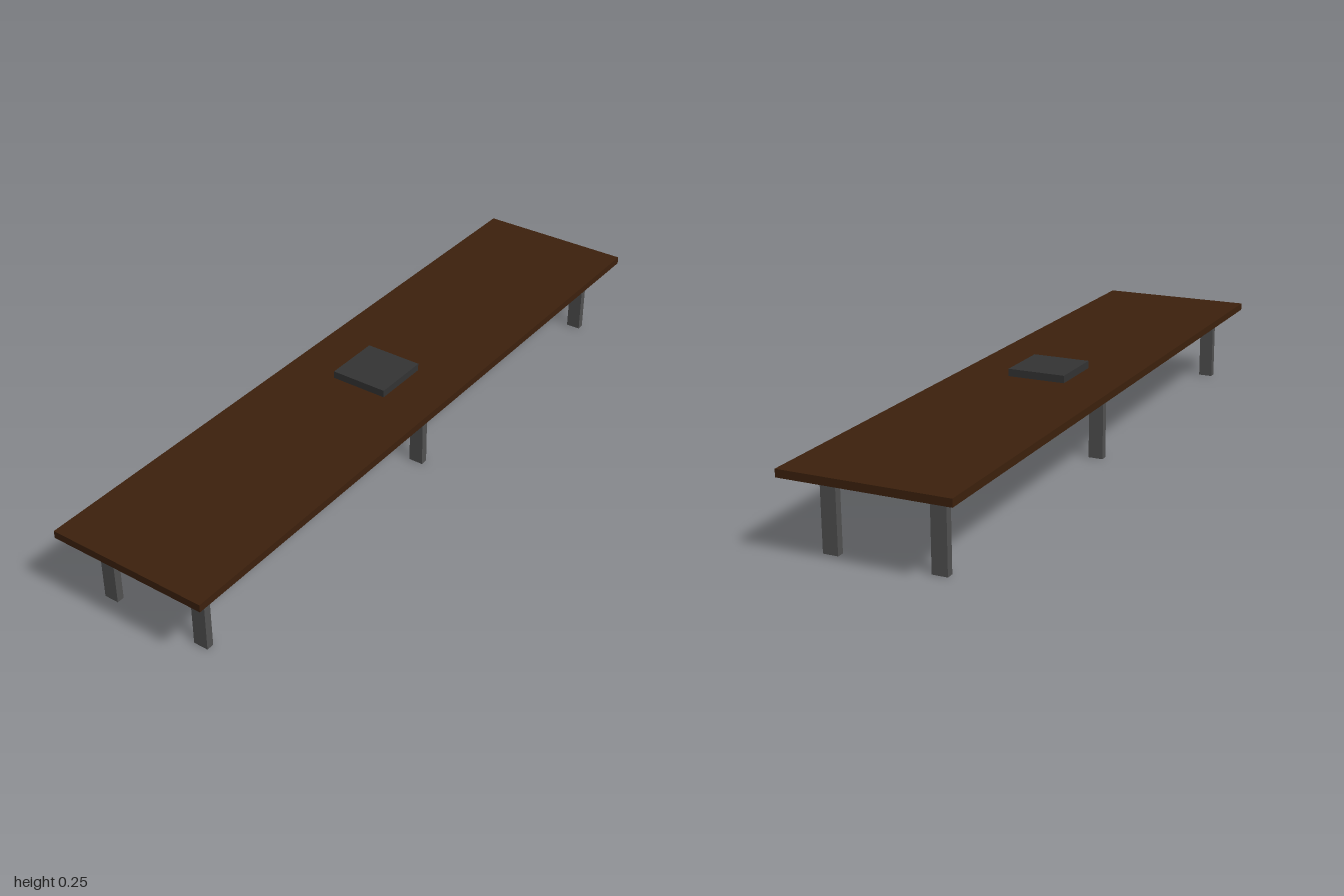
import * as THREE from 'three';

export function createModel() {
  const group = new THREE.Group();
  const mat = (name, color) => {
    const m = new THREE.MeshStandardMaterial({ color });
    m.name = name;
    return m;
  };
  const wood = mat('dark wood', 0x3d210d);
  const metal = mat('grey metal', 0x525252);
  const charcoal = mat('charcoal', 0x343434);

  // Box given by its size, with its base at height y
  const box = (name, material, w, h, d, x, y, z) => {
    const mesh = new THREE.Mesh(new THREE.BoxGeometry(w, h, d), material);
    mesh.name = name;
    mesh.position.set(x, y + h / 2, z);
    group.add(mesh);
  };

  // Table top, the frame under it and the console on it
  box('tableTop', wood, 0.459, 0.021, 2, 0, 0.209, 0);
  box('underFrame', metal, 0.375, 0.021, 1.876, 0, 0.188, 0.002);
  box('centreConsole', charcoal, 0.167, 0.021, 0.167, 0, 0.23, -0.012);

  // Three pairs of flat legs
  for (const z of [0.91, -0.008, -0.904]) {
    for (const side of [-1, 1]) {
      box(side > 0 ? 'leftLeg' : 'rightLeg', metal, 0.042, 0.188, 0.021, side * 0.146, 0, z);
    }
  }
  return group;
}
